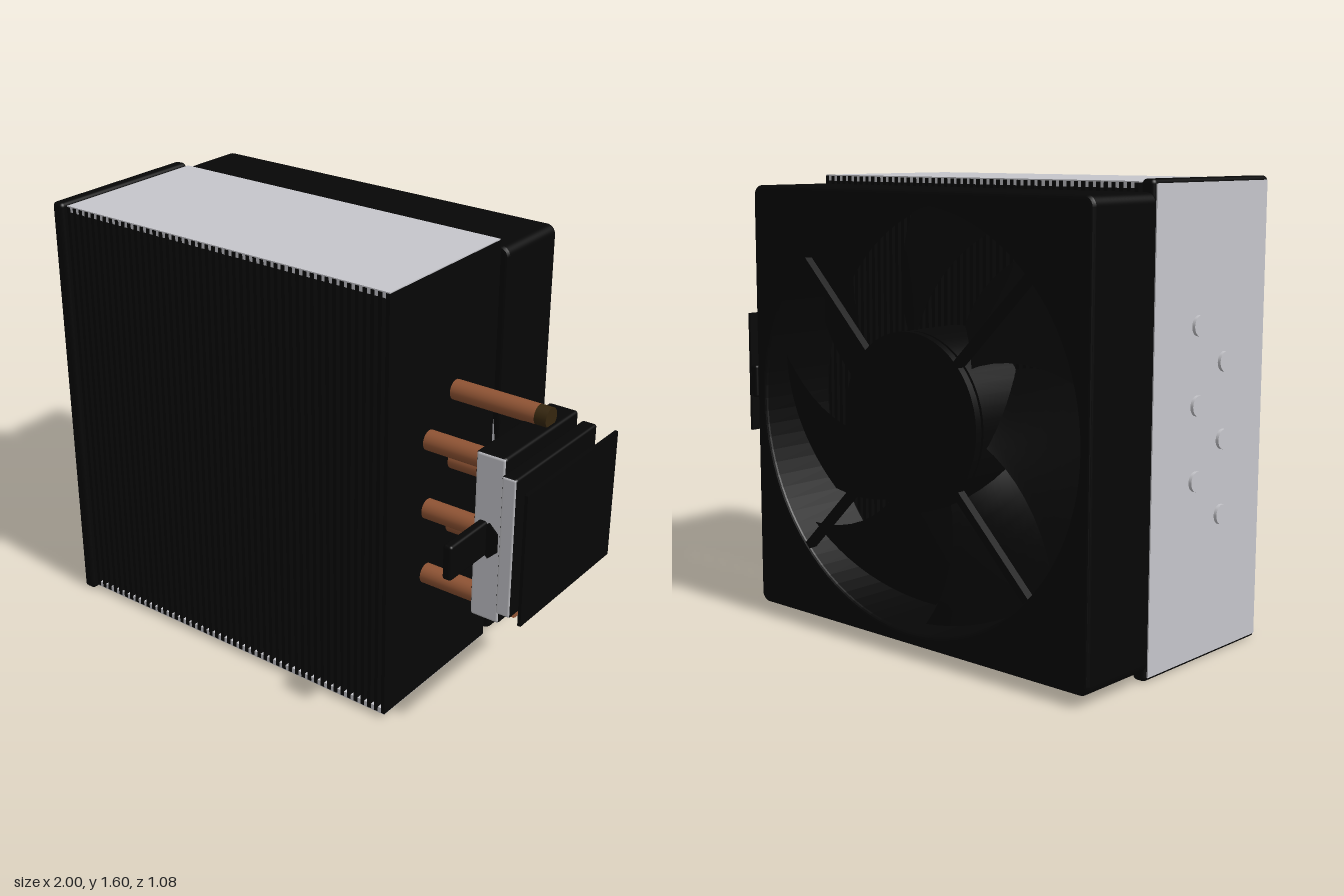
import * as THREE from 'three';
import { RoundedBoxGeometry } from 'three/addons/geometries/RoundedBoxGeometry.js';

const mat = (name, color) => {
  const m = new THREE.MeshStandardMaterial({ color });
  m.name = name;
  return m;
};

export function createModel() {
  const black = mat('black', 0x060606);
  const bladeBlack = mat('bladeBlack', 0x070707);
  bladeBlack.side = THREE.DoubleSide;
  const silver = mat('silver', 0xc6c6cb);
  const copper = mat('copper', 0x905434);
  const bronze = mat('darkBronze', 0x35260e);

  const model = new THREE.Group();
  model.name = 'towerCooler';

  const add = (name, geo, material, parent = model) => {
    const m = new THREE.Mesh(geo, material);
    m.name = name;
    parent.add(m);
    return m;
  };
  const group = (name) => {
    const g = new THREE.Group();
    g.name = name;
    model.add(g);
    return g;
  };
  // Box from its extents, optionally rounded
  const box = (name, [x0, x1], [y0, y1], [z0, z1], material, parent, r = 0) => {
    const s = [x1 - x0, y1 - y0, z1 - z0];
    const geo = r ? new RoundedBoxGeometry(...s, 3, r) : new THREE.BoxGeometry(...s);
    const m = add(name, geo, material, parent);
    m.position.set((x0 + x1) / 2, (y0 + y1) / 2, (z0 + z1) / 2);
    return m;
  };
  // Rod along x
  const rod = (name, x0, x1, y, z, r, material, parent) => {
    const geo = new THREE.CylinderGeometry(r, r, x1 - x0, 24).rotateZ(Math.PI / 2);
    add(name, geo, material, parent).position.set((x0 + x1) / 2, y, z);
  };
  // Disc facing along z
  const disc = (name, r, z0, z1, material, parent) => {
    const geo = new THREE.CylinderGeometry(r, r, z1 - z0, 48).rotateX(Math.PI / 2);
    add(name, geo, material, parent).position.z = (z0 + z1) / 2;
  };

  // Fin stack
  const fins = group('finStack');
  const count = 48, finX0 = -0.92, finX1 = 0.495, thick = 0.015;
  for (let i = 0; i < count; i++) {
    const x = finX0 + (finX1 - finX0 - thick) * i / (count - 1);
    box('fin', [x, x + thick], [0.02, 1.588], [-0.215, 0.42], black, fins);
  }
  box('topPanel', [finX0, finX1 - 0.002], [1.57, 1.592], [-0.213, 0.418], silver, fins);
  box('bottomPanel', [finX0, finX1 - 0.002], [0.016, 0.038], [-0.213, 0.418], silver, fins);

  // End cover with a pale face
  box('endCover', [-0.98, -0.93], [0, 1.6], [-0.218, 0.435], black, model, 0.015);
  box('endCoverFace', [-0.984, -0.976], [0.014, 1.586], [-0.205, 0.422], silver);

  // Heat pipes in two staggered rows
  const pipes = group('heatPipes');
  [1.13, 1.0, 0.87, 0.74, 0.62, 0.485].forEach((y, i) => {
    const z = i % 2 ? 0.185 : 0.033, outer = i === 0 || i === 5;
    rod('pipeStub', -0.97, -0.915, y, z, 0.036, copper, pipes);
    rod('pipeInFins', -0.915, 0.43, y, z, 0.036, bronze, pipes);
    rod('pipe', 0.43, outer ? 0.82 : 0.79, y, z, 0.036, copper, pipes);
    if (outer) rod('pipeEnd', 0.82, 0.865, y, z, 0.036, i ? copper : bronze, pipes);
    rod('pipeCap', -0.995, -0.97, y, z, 0.034, silver, pipes);
  });

  // Contact block: pale on the front and underside
  const base = group('contactBlock');
  const twoTone = [black, black, black, silver, silver, black];
  box('pipeBlock', [0.77, 0.882], [0.5, 1.105], [-0.12, 0.33], twoTone, base, 0.012);
  box('backPlate', [0.882, 0.938], [0.555, 1.06], [-0.15, 0.355], twoTone, base, 0.01);
  box('spacer', [0.938, 0.988], [0.62, 0.99], [-0.1, 0.3], black, base);
  box('contactPlate', [0.988, 1.0], [0.57, 1.04], [-0.18, 0.39], black, base);

  // Mounting bar with a hexagonal collar
  box('mountingBar', [0.79, 0.824], [0.74, 0.865], [-0.32, 0.535], black, base, 0.01);
  const collar = add('barCollar', new THREE.CylinderGeometry(0.065, 0.065, 0.008, 6).rotateX(Math.PI / 2), black, base);
  collar.scale.x = 0.6;
  collar.position.set(0.832, 0.8, 0.332);

  // Fan frame
  const fan = group('fan');
  fan.position.set(-0.24, 0.8, 0);
  const h = 0.76, c = 0.035, b = 0.012;
  const shape = new THREE.Shape();
  [[1, -1], [1, 1], [-1, 1], [-1, -1]].forEach(([sx, sy], i) => {
    const a = (i - 1) * Math.PI / 2;
    shape.absarc(sx * (h - c), sy * (h - c), c, a, a + Math.PI / 2, false);
  });
  const bore = new THREE.Path();
  bore.absarc(0, 0, 0.716, 0, Math.PI * 2, true);
  shape.holes.push(bore);
  const frame = add('fanFrame', new THREE.ExtrudeGeometry(shape, {
    depth: 0.315 - 2 * b, bevelEnabled: true, bevelThickness: b, bevelSize: b,
    bevelOffset: -b, bevelSegments: 3, curveSegments: 48,
  }), black, fan);
  frame.position.z = -0.54 + b;
  add('frameLip', new THREE.RingGeometry(0.724, 0.742, 96), silver, fan).position.z = -0.222;

  // Hub and motor mount
  disc('fanHub', 0.3, -0.5, -0.28, black, fan);
  disc('motorMount', 0.3, -0.535, -0.51, black, fan);

  // Swept, pitched blades
  const blades = 7, pitch = Math.PI * 2 / blades;
  const bladeGeo = new THREE.PlaneGeometry(1, 1, 12, 8);
  const pos = bladeGeo.attributes.position;
  for (let i = 0; i < pos.count; i++) {
    const u = pos.getX(i), v = pos.getY(i) + 0.5;
    const r = 0.28 + 0.425 * v;
    const a = 0.55 + (r - 0.55) * 1.25 + u * pitch * (0.9 - 0.07 * v);
    pos.setXYZ(i, r * Math.cos(a), r * Math.sin(a), -0.39 - u * (0.2 - 0.04 * v) + 0.04 * u * u);
  }
  bladeGeo.computeVertexNormals();
  for (let i = 0; i < blades; i++) {
    add('fanBlade', bladeGeo, bladeBlack, fan).rotation.z = i * pitch;
  }

  // Diagonal struts on the outer side
  for (let i = 0; i < 4; i++) {
    const arm = new THREE.Group();
    arm.name = 'strut';
    arm.rotation.z = Math.PI / 4 + i * Math.PI / 2;
    fan.add(arm);
    box('strutBar', [0.28, 0.74], [-0.014, 0.014], [-0.535, -0.505], black, arm);
  }

  // Small pads between fan and fins
  for (const y of [0.08, 1.53]) for (const x of [-0.9, 0.47]) {
    box('fanPad', [x - 0.015, x + 0.015], [y - 0.014, y + 0.014], [-0.228, -0.205], silver);
  }

  return model;
}
